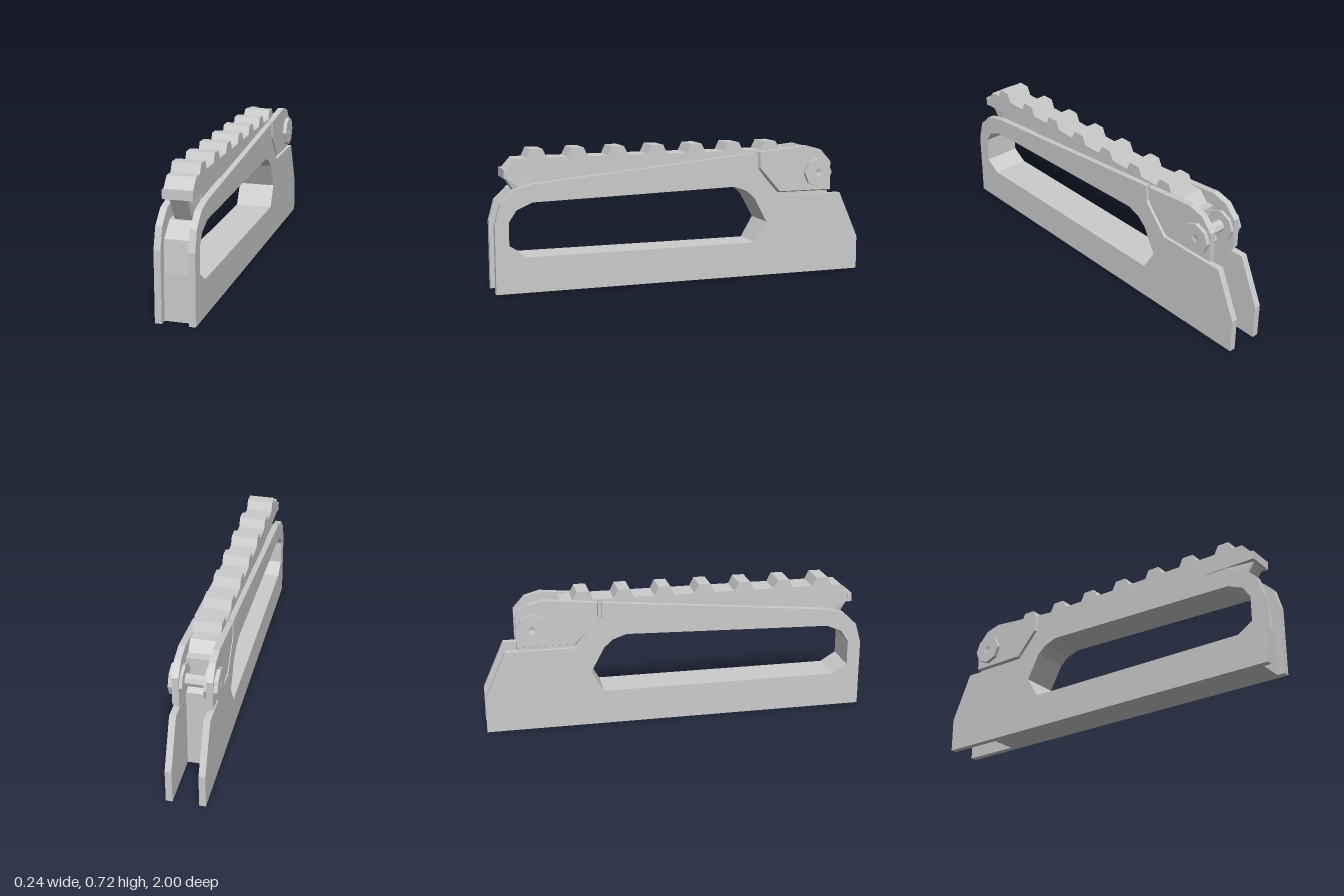
import * as THREE from 'three';

const material = new THREE.MeshStandardMaterial({ color: 0xcccccc, flatShading: true });

// Opening through the whole handle, as [z, y] points (wound opposite to the outlines)
const HOLE = [[0.85, 0.18], [-0.39, 0.18], [-0.455, 0.29], [-0.385, 0.42], [-0.34, 0.46], [-0.27, 0.485],
  [0.81, 0.455], [0.89, 0.42], [0.93, 0.36], [0.93, 0.23]];

// Extrudes a [z, y] outline along x from x0 to x1
function slab(name, points, x0, x1, hole) {
  const toVectors = (list) => list.map(([z, y]) => new THREE.Vector2(-z, y));
  const shape = new THREE.Shape(toVectors(points));
  if (hole) shape.holes.push(new THREE.Path(toVectors(hole)));
  const geometry = new THREE.ExtrudeGeometry(shape, { depth: x1 - x0, bevelEnabled: false });
  geometry.rotateY(Math.PI / 2);
  geometry.translate(x0, 0, 0);
  const mesh = new THREE.Mesh(geometry, material);
  mesh.name = name;
  return mesh;
}

// Moves every vertex of a mesh by a rule
function reshape(mesh, rule) {
  const position = mesh.geometry.attributes.position;
  const v = new THREE.Vector3();
  for (let i = 0; i < position.count; i++) {
    rule(v.fromBufferAttribute(position, i));
    position.setXYZ(i, v.x, v.y, v.z);
  }
  mesh.geometry.computeVertexNormals();
  return mesh;
}

export function createModel() {
  const model = new THREE.Group();
  model.name = 'railHandle';

  // Recessed core between the side plates
  model.add(slab('core', [[0.96, 0], [0.96, 0.23], [0.945, 0.39], [0.87, 0.46], [0.8, 0.462], [0.8, 0.58],
    [-0.67, 0.58], [-0.67, 0.45], [-0.705, 0.43], [-0.705, 0]], -0.065, 0.065, HOLE));

  // Neck under the front of the rail, narrower at its leading face
  const neck = slab('railNeck', [[0.935, 0.58], [0.857, 0.458], [0.78, 0.46], [0.78, 0.58]], -0.065, 0.065);
  model.add(reshape(neck, (v) => { if (v.z > 0.8) v.x *= 0.66; }));

  // Toothed rail
  const rail = [[0.945, 0.577], [0.945, 0.622], [0.93, 0.622], [0.885, 0.672]];
  for (let i = 0; i < 7; i++) {
    const z = 0.831 - i * 0.2107;
    rail.push([z, 0.672], [z - 0.022, 0.717], [z - 0.083, 0.717], [z - 0.105, 0.672]);
  }
  rail.push([-0.6, 0.672], [-0.645, 0.622], [-0.69, 0.622], [-0.69, 0.577]);
  model.add(slab('rail', rail, -0.07, 0.07));
  model.add(slab('railFrontLip', [[0.946, 0.576], [0.946, 0.62], [0.925, 0.62], [0.925, 0.576]], -0.073, 0.073));

  const plate = [[1, 0], [1, 0.35], [0.97, 0.455], [0.9, 0.522], [0.8, 0.547], [-0.39, 0.66],
    [-0.395, 0.575], [-0.525, 0.427], [-0.89, 0.427], [-1, 0.18], [-1, 0]];
  const bracket = [[-0.417, 0.662], [-0.69, 0.689], [-0.77, 0.667], [-0.83, 0.6], [-0.83, 0.449],
    [-0.533, 0.449], [-0.42, 0.575]];
  const backing = [[-0.385, 0.655], [-0.45, 0.66], [-0.82, 0.5], [-0.82, 0.425], [-0.52, 0.425], [-0.39, 0.57]];

  // Bolt head: octagonal disc with a shallow dimple on its outer face
  const headProfile = [[0, 0.05], [0.079, 0.05], [0.079, 0.118], [0.022, 0.118], [0, 0.112]]
    .map(([r, h]) => new THREE.Vector2(r, h));

  for (const side of [-1, 1]) {
    const label = side > 0 ? 'left' : 'right';
    const mirrored = (name, points, a, b, hole) =>
      slab(label + name, points, side > 0 ? a : -b, side > 0 ? b : -a, hole);
    model.add(mirrored('SidePlate', plate, 0.065, 0.098, HOLE));
    model.add(mirrored('BracketGroove', backing, 0.066, 0.08));

    // Bracket with its lower and front edges flaring towards the groove
    model.add(reshape(mirrored('Bracket', bracket, 0.065, 0.098), (v) => {
      if (Math.abs(v.x) > 0.08) return;
      if (v.y < 0.5) v.y -= 0.013;
      if (v.z > -0.6) v.z += 0.013;
    }));

    const head = new THREE.Mesh(new THREE.LatheGeometry(headProfile, 8), material);
    head.name = label + 'BoltHead';
    head.rotation.z = -side * Math.PI / 2;
    head.position.set(0, 0.544, -0.75);
    model.add(head);
  }

  // Bolt shaft joining both heads
  const shaft = new THREE.Mesh(new THREE.CylinderGeometry(0.032, 0.032, 0.12, 8), material);
  shaft.name = 'boltShaft';
  shaft.rotation.z = Math.PI / 2;
  shaft.position.set(0, 0.544, -0.75);
  model.add(shaft);

  return model;
}
